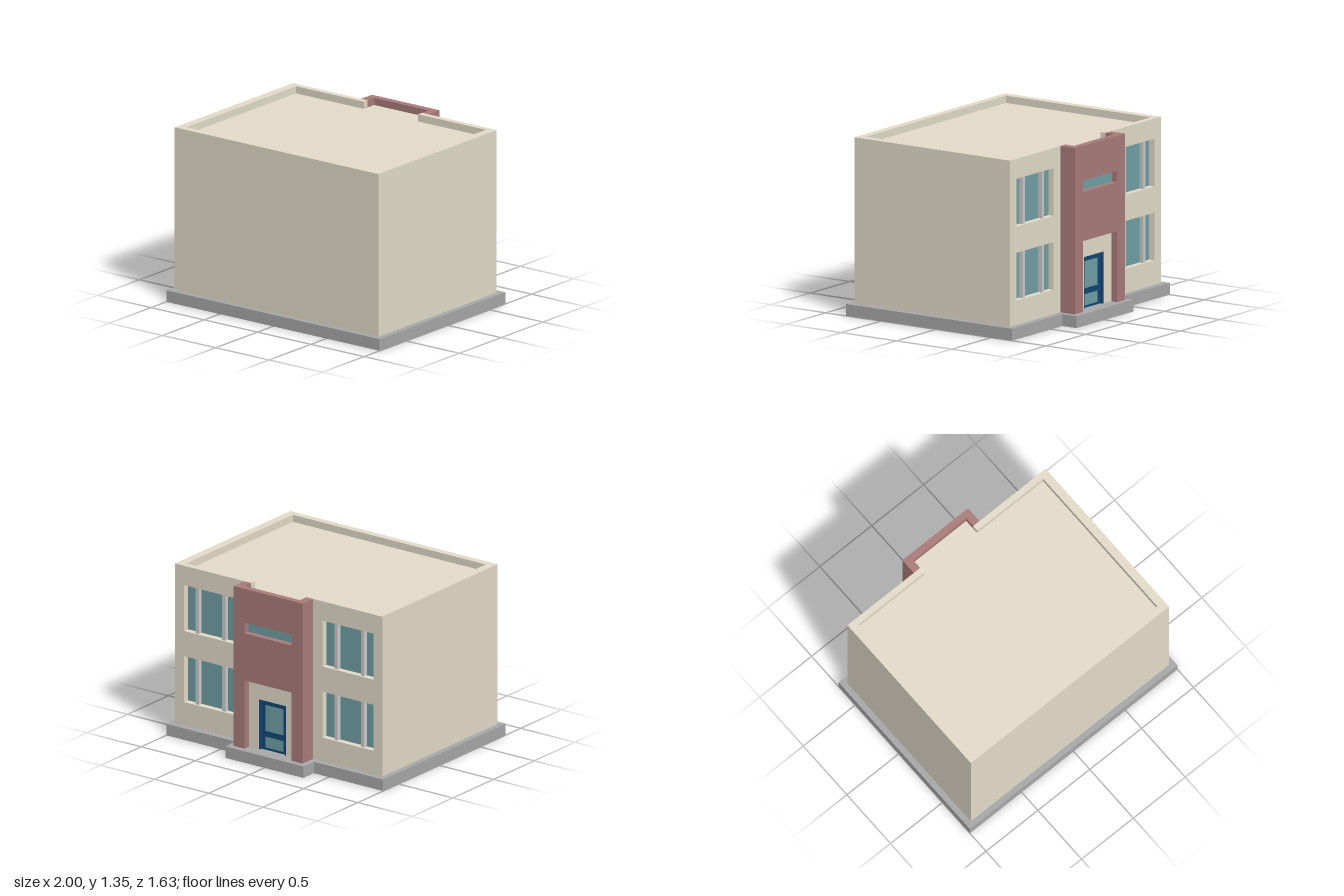
import * as THREE from 'three';
import { mergeGeometries } from 'three/addons/utils/BufferGeometryUtils.js';

const mat = (color) => new THREE.MeshStandardMaterial({ color, flatShading: true });

export function createModel() {
  const group = new THREE.Group();
  const wallMat = mat(0xe4dcca), brickMat = mat(0xaa7c7a), pavingMat = mat(0xa8a8a8);
  const glassMat = mat(0x70a0a6), doorMat = mat(0x124676), postMat = mat(0xbcbcbc);
  pavingMat.side = THREE.DoubleSide;

  const add = (name, geometry, material) => {
    const mesh = new THREE.Mesh(geometry, material);
    mesh.name = name;
    group.add(mesh);
    return mesh;
  };
  const toPath = (pts, Type = THREE.Shape) => new Type(pts.map(([x, y]) => new THREE.Vector2(x, y)));
  const rect = (x0, x1, y0, y1) => [[x0, y0], [x1, y0], [x1, y1], [x0, y1]];

  // Box given by its limits on each axis
  const box = (name, x0, x1, y0, y1, z0, z1, material) =>
    add(name, new THREE.BoxGeometry(x1 - x0, y1 - y0, z1 - z0)
      .translate((x0 + x1) / 2, (y0 + y1) / 2, (z0 + z1) / 2), material);

  // Floor plan of (x, z) points raised from y0 to y1
  const plan = (name, pts, y0, y1, material) =>
    add(name, new THREE.ExtrudeGeometry(toPath(pts), { depth: y1 - y0, bevelEnabled: false })
      .rotateX(Math.PI / 2).translate(0, y1, 0), material);

  // Upright wall outline with openings, running from z0 to z1
  const wall = (name, pts, holes, z0, z1, material) => {
    const shape = toPath(pts);
    shape.holes = holes.map((h) => toPath(rect(...h), THREE.Path));
    return add(name, new THREE.ExtrudeGeometry(shape, { depth: z1 - z0, bevelEnabled: false })
      .translate(0, 0, z0), material);
  };

  const floor = 0.09, top = 1.345, roofY = 1.29;
  const outer = 0.955, inner = 0.89, rear = 0.773, rearIn = 0.717;
  const facade = -0.641, facadeIn = -0.594, tower = -0.772, towerIn = -0.72;

  // Paved base, open underneath, with a step out under the entrance
  const basePts = [[-1, 0.815], [1, 0.815], [1, -0.69], [0.36, -0.69], [0.36, -0.817],
    [-0.36, -0.817], [-0.36, -0.69], [-1, -0.69]];
  // Shape y is negated so that the lid faces up once laid flat
  add('baseTop', new THREE.ShapeGeometry(toPath(basePts.map(([x, z]) => [x, -z])))
    .rotateX(-Math.PI / 2).translate(0, floor, 0), pavingMat);
  add('baseSides', mergeGeometries(basePts.map(([x0, z0], i) => {
    const [x1, z1] = basePts[(i + 1) % basePts.length];
    return new THREE.PlaneGeometry(Math.hypot(x1 - x0, z1 - z0), floor)
      .rotateY(Math.atan2(z0 - z1, x1 - x0))
      .translate((x0 + x1) / 2, floor / 2, (z0 + z1) / 2);
  })), pavingMat);

  // Blank walls on three sides, rising above the roof as a parapet
  plan('outerWalls', [[-outer, facadeIn], [-outer, rear], [outer, rear], [outer, facadeIn],
    [inner, facadeIn], [inner, rearIn], [-inner, rearIn], [-inner, facadeIn]], floor, top, wallMat);

  // Flat roof, reaching into the entrance tower
  plan('roof', [[-inner, rearIn], [inner, rearIn], [inner, facadeIn], [0.255, facadeIn],
    [0.255, towerIn], [-0.255, towerIn], [-0.255, facadeIn], [-inner, facadeIn]],
  roofY - 0.04, roofY, wallMat);

  // Window walls either side of the tower
  const storeys = [[0.275, 0.635], [0.833, 1.193]];
  for (const side of [-1, 1]) {
    const span = (a, b) => (side > 0 ? [a, b] : [-b, -a]);
    const opening = span(0.405, 0.872);
    wall('windowWall', rect(...span(0.255, outer), floor, top),
      storeys.map((s) => [...opening, ...s]), facade, facadeIn, wallMat);
    for (const [y0, y1] of storeys) {
      box('windowGlass', ...opening, y0, y1, facadeIn, facadeIn + 0.02, glassMat);
      for (const x of [0.518, 0.762]) {
        box('windowPost', ...span(x - 0.015, x + 0.015), y0, y1, facade + 0.014, facadeIn, postMat);
      }
    }
    box('towerSide', ...span(0.255, 0.317), floor, top, towerIn, facade, brickMat);
  }

  // Brick tower front with a doorway notch and a slot window
  wall('towerFront', [[-0.317, floor], [-0.217, floor], [-0.217, 0.625], [0.217, 0.625],
    [0.217, floor], [0.317, floor], [0.317, top], [-0.317, top]],
  [[-0.217, 0.217, 0.995, 1.08]], tower, towerIn, brickMat);
  box('slotGlass', -0.217, 0.217, 0.995, 1.08, towerIn - 0.005, towerIn + 0.01, glassMat);

  // Recessed entrance panel around the door
  wall('entrancePanel', [[-0.25, floor], [-0.127, floor], [-0.127, 0.483], [0.127, 0.483],
    [0.127, floor], [0.25, floor], [0.25, 0.66], [-0.25, 0.66]], [], towerIn, towerIn + 0.05, wallMat);

  // Door: thin outer frame, then a leaf with two panes
  wall('doorFrame', [[-0.127, floor], [-0.115, floor], [-0.115, 0.471], [0.115, 0.471],
    [0.115, floor], [0.127, floor], [0.127, 0.483], [-0.127, 0.483]], [], towerIn + 0.005, towerIn + 0.05, doorMat);
  wall('doorLeaf', rect(-0.115, 0.115, floor, 0.471),
    [[-0.085, 0.085, 0.235, 0.442], [-0.085, 0.085, 0.105, 0.193]], towerIn + 0.025, towerIn + 0.05, doorMat);
  box('doorGlass', -0.09, 0.09, 0.1, 0.447, towerIn + 0.032, towerIn + 0.045, glassMat);

  return group;
}
